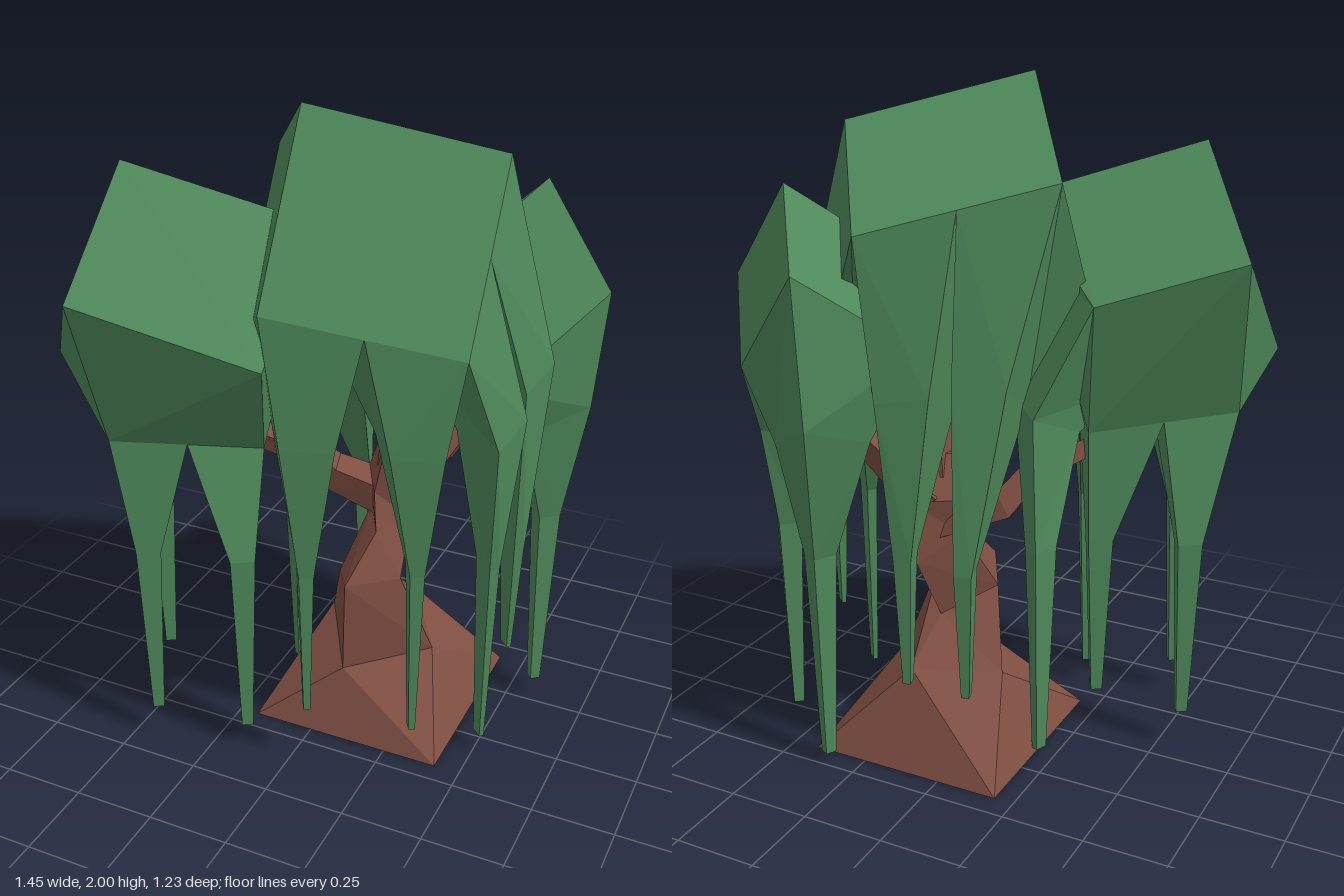
import * as THREE from 'three';
import { ConvexGeometry } from 'three/addons/geometries/ConvexGeometry.js';

const V = (x, y, z) => new THREE.Vector3(x, y, z);
const leafMat = new THREE.MeshStandardMaterial({ color: 0x4f8a5b, flatShading: true });
const barkMat = new THREE.MeshStandardMaterial({ color: 0x804f43, flatShading: true });

// Closed faceted skin through a list of rings, wound outward by its signed volume
function loft(rings) {
  const tris = [];
  const n = rings[0].length;
  for (let k = 0; k + 1 < rings.length; k++) {
    for (let i = 0; i < n; i++) {
      const j = (i + 1) % n;
      const a = rings[k][i], b = rings[k][j], c = rings[k + 1][j], d = rings[k + 1][i];
      tris.push([a, b, d], [b, c, d]);
    }
  }
  const last = rings[rings.length - 1];
  for (let i = 1; i + 1 < n; i++) {
    tris.push([rings[0][0], rings[0][i + 1], rings[0][i]], [last[0], last[i], last[i + 1]]);
  }
  const o = rings[0][0];
  let volume = 0;
  for (const [a, b, c] of tris) {
    volume += a.clone().sub(o).dot(b.clone().sub(o).cross(c.clone().sub(o)));
  }
  const pts = tris.flatMap(([a, b, c]) => (volume < 0 ? [a, c, b] : [a, b, c]));
  const g = new THREE.BufferGeometry().setFromPoints(pts);
  g.computeVertexNormals();
  return g;
}

function add(parent, name, geometry, mat) {
  const m = new THREE.Mesh(geometry, mat);
  m.name = name;
  parent.add(m);
}

const quad = (p, u, v) => [
  p.clone(), p.clone().add(u), p.clone().add(u).add(v), p.clone().add(v),
];
const centre = (q) => q.reduce((s, p) => s.add(p), V(0, 0, 0)).multiplyScalar(0.25);

// Hanging strand: the given upper rings, then a thin lower part ending at the tip
function strand(parent, rings, tip) {
  const upper = rings[rings.length - 1];
  const c = centre(upper);
  const small = (y, r) => upper.map((p) => {
    const d = V(p.x - c.x, 0, p.z - c.z).normalize();
    return V(tip.x, y, tip.z).addScaledVector(d, r);
  });
  const lower = [small(Math.max(0.68, tip.y + 0.35), 0.047), small(tip.y, 0.022)];
  add(parent, 'hangingStrand', loft([...rings, ...lower]), leafMat);
}

// Narrower level shoulder below a block face, on the way to the strand's tip
function shoulder(face, out, tip, push) {
  const c = centre(face);
  const n = out.clone().normalize().setY(0);
  const s = V(c.x, 0, c.z).lerp(V(tip.x, 0, tip.z), 0.6).addScaledVector(n, push);
  s.y = c.y * 0.5 + 0.4;
  return face.map((p) => {
    const d = p.clone().sub(c);
    return s.clone().add(V(d.x, d.y * 0.5, d.z).addScaledVector(n, d.y * 0.4).multiplyScalar(0.54));
  });
}

// Leaf block spanned by three edges from its top corner, widened by extra points.
// Each strand entry is [face axis, split axis, part, parts, tip, outward push]
function canopy(name, p, e, strands, extra = []) {
  const g = new THREE.Group();
  g.name = name;
  const top = quad(p, e[0], e[1]);
  const corners = [...top, ...top.map((q) => q.clone().add(e[2])), ...extra];
  add(g, 'leafBlock', new ConvexGeometry(corners), leafMat);
  for (const [axis, split, part, parts, tip, push] of strands) {
    const other = 3 - axis - split;
    const start = p.clone().add(e[axis]).addScaledVector(e[split], part / parts);
    const face = quad(start, e[split].clone().divideScalar(parts), e[other]);
    strand(g, [face, shoulder(face, e[axis], tip, push)], tip);
  }
  return g;
}

// Four-sided limb along a path of [x, y, z, radius]
function limb(parent, name, path) {
  const pts = path.map((a) => V(a[0], a[1], a[2]));
  const rings = pts.map((p, k) => {
    const t = pts[Math.min(k + 1, pts.length - 1)].clone().sub(pts[Math.max(k - 1, 0)]).normalize();
    const u = V(0.3, 0.1, 1).cross(t).normalize();
    const v = t.clone().cross(u);
    return [0, 1, 2, 3].map((i) => {
      const a = (i * Math.PI) / 2 + 0.5;
      return p.clone().addScaledVector(u, Math.cos(a) * path[k][3])
        .addScaledVector(v, Math.sin(a) * path[k][3]);
    });
  });
  add(parent, name, loft(rings), barkMat);
}

export function createModel() {
  const tree = new THREE.Group();
  tree.name = 'tree';

  // Twisted trunk on a wide square foot (corners ordered left, front, right, back)
  add(tree, 'trunk', loft([
    [V(-0.19, 0, -0.43), V(-0.19, 0, 0.19), V(0.42, 0, 0.19), V(0.42, 0, -0.43)],
    [V(-0.08, 0.25, -0.16), V(0.07, 0.2, 0.1), V(0.3, 0.23, -0.08), V(0.15, 0.28, -0.31)],
    [V(0.0, 0.47, -0.03), V(0.08, 0.51, 0.11), V(0.21, 0.5, -0.02), V(0.13, 0.4, -0.16)],
    [V(0.06, 0.67, -0.14), V(0.13, 0.65, -0.01), V(0.2, 0.66, -0.12), V(0.16, 0.6, -0.25)],
    [V(0.04, 0.79, -0.16), V(0.11, 0.77, -0.04), V(0.24, 0.78, -0.13), V(0.17, 0.8, -0.27)],
    [V(0.09, 0.92, -0.13), V(0.14, 0.91, -0.04), V(0.23, 0.92, -0.12), V(0.18, 0.93, -0.21)],
  ]), barkMat);

  // Branches reaching into the three leaf blocks
  const branches = new THREE.Group();
  branches.name = 'branches';
  limb(branches, 'topBranch', [[0.16, 0.85, -0.13, 0.08], [0.17, 1.07, -0.1, 0.055], [0.19, 1.3, -0.1, 0.04]]);
  limb(branches, 'rightBranch', [[0.14, 0.71, -0.14, 0.075], [-0.06, 0.78, -0.1, 0.06],
    [-0.12, 0.87, -0.04, 0.05], [-0.32, 0.97, 0.08, 0.035], [-0.38, 1.25, 0.2, 0.03]]);
  limb(branches, 'leftBranch', [[0.15, 0.78, -0.16, 0.08], [0.26, 0.88, -0.2, 0.06],
    [0.34, 1.0, -0.27, 0.045], [0.42, 1.3, -0.32, 0.03]]);
  tree.add(branches);

  // Middle block with strands in pairs from three of its faces
  tree.add(canopy('middleCanopy', V(-0.01, 2, 0.19),
    [V(0.49, -0.14, -0.25), V(-0.28, -0.24, -0.42), V(0, -0.49, 0.27)], [
      [2, 0, 0, 2, V(0.05, 0.2, 0.32), 0],
      [2, 0, 1, 2, V(0.335, 0.12, 0.18), 0],
      [1, 0, 0, 2, V(-0.08, 0.29, -0.39), -0.05],
      [1, 0, 1, 2, V(0.12, 0.28, -0.38), -0.02],
      [0, 2, 0, 2, V(0.54, 0.32, -0.08), 0.05],
      [0, 2, 1, 2, V(0.51, 0.06, 0.05), 0.04],
    ]));

  // Right block runs into the middle one and narrows to a foot that splits into four strands
  const foot = [V(-0.48, 1.06, 0.48), V(0.37, -0.05, -0.23), V(-0.19, 0.01, -0.3)];
  const right = canopy('rightCanopy', V(-0.5, 1.82, 0.3),
    [V(0.39, -0.13, -0.145), V(-0.23, -0.28, -0.28), V(0, -0.31, 0.31)],
    [[0, 1, 1, 2, V(-0.2, 0.02, -0.15), 0.06]],
    [...quad(...foot), V(0, 1.65, 0.12), V(0, 1.35, 0.46)]);
  const half = foot.slice(1).map((v) => v.clone().multiplyScalar(0.5));
  const tips = [V(-0.425, 0.11, 0.4), V(-0.15, 0.08, 0.33), V(-0.565, 0.12, 0.09), V(-0.32, 0.18, 0)];
  tips.forEach((tip, i) => {
    const start = foot[0].clone().addScaledVector(half[0], i % 2).addScaledVector(half[1], i >> 1);
    strand(right, [quad(start, ...half)], tip);
  });
  tree.add(right);

  // Small left block with one strand from each lower face
  tree.add(canopy('leftCanopy', V(0.5, 1.72, -0.35),
    [V(-0.23, -0.24, 0.26), V(-0.19, -0.19, -0.26), V(0.22, -0.29, 0.06)], [
      [1, 0, 0, 1, V(0.35, 0.03, -0.47), 0.04],
      [2, 0, 0, 1, V(0.575, 0.06, -0.3), 0],
    ]));
  return tree;
}
